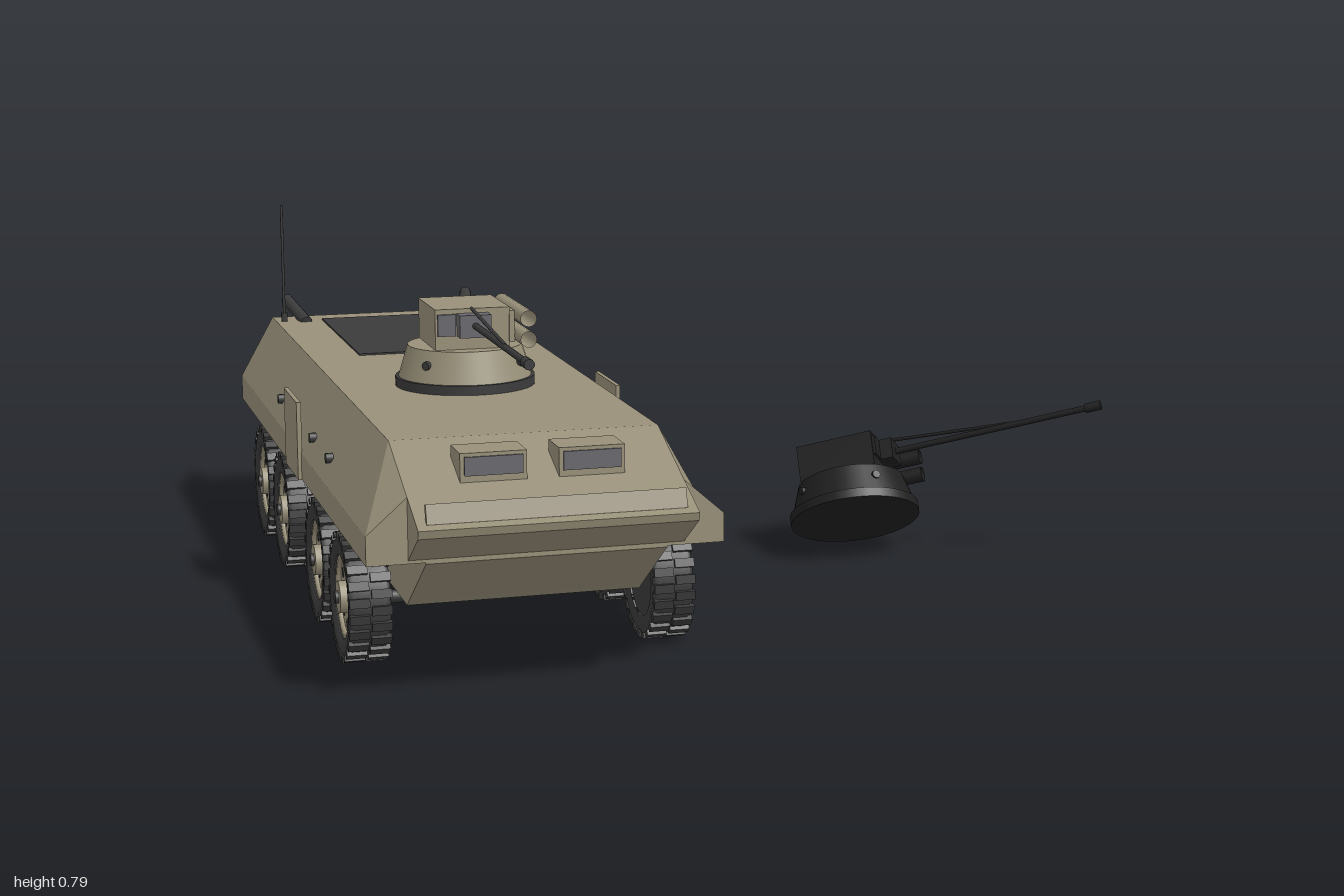
import * as THREE from 'three';

const mat = (name, color) => Object.assign(new THREE.MeshStandardMaterial({ color }), { name });
const olive = mat('olive paint', 0x989079);
const rubber = mat('tyre rubber', 0x3a3a3a);
const dark = mat('dark metal', 0x3b3b3c);
const glass = mat('grey glass', 0x68686e);
const burnt = mat('burnt metal', 0x1f1f1f);
const oliveTube = mat('olive tube', 0x989079);
const burntTube = mat('burnt tube', 0x1f1f1f);
oliveTube.side = burntTube.side = THREE.DoubleSide;

function add(parent, name, geo, material, x = 0, y = 0, z = 0) {
  const m = new THREE.Mesh(geo, material);
  m.name = name;
  m.position.set(x, y, z);
  parent.add(m);
  return m;
}
const box = (w, h, d) => new THREE.BoxGeometry(w, h, d);
const cyl = (r1, r2, h, n = 16, open = false) => new THREE.CylinderGeometry(r1, r2, h, n, 1, open);
const cylX = (r, h, n = 16) => cyl(r, r, h, n).rotateZ(Math.PI / 2);
const cylZ = (r, h, n = 16, open = false) => cyl(r, r, h, n, open).rotateX(Math.PI / 2);

// Straight rod between two points
function rod(parent, name, a, b, r, material) {
  const p = new THREE.Vector3(...a), q = new THREE.Vector3(...b);
  const m = add(parent, name, cyl(r, r, p.distanceTo(q), 10), material);
  m.position.copy(p).lerp(q, 0.5);
  m.quaternion.setFromUnitVectors(new THREE.Vector3(0, 1, 0), q.sub(p).normalize());
  return m;
}

// Side profile of (z, y) points, extruded across the width
function sideExtrude(points, half) {
  const shape = new THREE.Shape(points.map(p => new THREE.Vector2(...p)));
  return new THREE.ExtrudeGeometry(shape, { depth: half * 2, bevelEnabled: false })
    .rotateY(-Math.PI / 2).translate(half, 0, 0);
}

// Hull lofted from front to back: [z, top height, belly height]
function hullGeometry() {
  const rows = [[0.89, 0.418, 0.282], [0.7, 0.493, 0.159], [0.68, 0.493, 0.145],
    [-0.82, 0.493, 0.145], [-0.89, 0.493, 0.28], [-0.945, 0.493, 0.28]];
  const section = (top, belly) => {
    const left = [[0.245, belly], [0.245, 0.285], [0.363, 0.285], [0.363, 0.345], [0.28, top]];
    return [...left.map(([x, y]) => [-x, y]).reverse(), ...left];
  };
  const n = 10, pos = [], index = [];
  for (const [z, top, belly] of rows) for (const [x, y] of section(top, belly)) pos.push(x, y, z);
  for (let i = 0; i < rows.length - 1; i++) {
    for (let j = 0; j < n; j++) {
      const a = i * n + j, b = i * n + (j + 1) % n;
      index.push(a, a + n, b, b, a + n, b + n);
    }
  }
  const cap = (row, start, flip) => {
    const pts = section(row[1], row[2]).map(p => new THREE.Vector2(...p));
    for (const [a, b, c] of THREE.ShapeUtils.triangulateShape(pts, [])) {
      index.push(start + a, start + (flip ? c : b), start + (flip ? b : c));
    }
  };
  cap(rows[0], 0, false);
  cap(rows[rows.length - 1], (rows.length - 1) * n, true);
  const g = new THREE.BufferGeometry();
  g.setAttribute('position', new THREE.Float32BufferAttribute(pos, 3));
  g.setIndex(index);
  const flat = g.toNonIndexed();
  flat.computeVertexNormals();
  return flat;
}

// Wheel with its outer face towards +x
function makeWheel() {
  const w = new THREE.Group();
  w.name = 'wheel';
  const profile = [[0.088, -0.04], [0.118, -0.044], [0.129, -0.034], [0.129, 0.034], [0.118, 0.044], [0.088, 0.04], [0.084, 0.02]];
  const tyre = new THREE.LatheGeometry(profile.map(p => new THREE.Vector2(...p)), 32).rotateZ(-Math.PI / 2);
  add(w, 'tyre', tyre, rubber);
  for (let i = 0; i < 24; i++) {
    const a = i / 24 * Math.PI * 2;
    for (const s of [-1, 1]) {
      const b = a + (s > 0 ? Math.PI / 24 : 0);
      const lug = add(w, 'treadLug', box(0.042, 0.012, 0.019), rubber, s * 0.023, Math.cos(b) * 0.13, Math.sin(b) * 0.13);
      lug.rotation.x = b;
    }
  }
  add(w, 'innerDisc', cylX(0.088, 0.03, 24), dark, -0.022);
  add(w, 'rim', cylX(0.087, 0.03, 28), olive, 0.012);
  add(w, 'rimLip', new THREE.TorusGeometry(0.084, 0.007, 6, 28).rotateY(Math.PI / 2), olive, 0.03);
  add(w, 'hub', cylX(0.034, 0.024, 16), olive, 0.034);
  add(w, 'hubCap', cylX(0.014, 0.03, 12), dark, 0.038);
  for (let i = 0; i < 8; i++) {
    const a = i / 8 * Math.PI * 2;
    add(w, 'rimHole', cylX(0.011, 0.004, 8), dark, 0.0265, Math.cos(a) * 0.058, Math.sin(a) * 0.058);
  }
  return w;
}

// Gun turret with its ring standing on y = 0 and the gun along +z
function makeTurret(name, paint, tubePaint, metal, sightPaint) {
  const t = new THREE.Group();
  t.name = name;
  add(t, 'turretRing', cyl(0.155, 0.155, 0.022, 36), metal, 0, 0.011);
  add(t, 'turretBase', cyl(0.127, 0.148, 0.07, 36), paint, 0, 0.057);
  add(t, 'gunHousing', box(0.166, 0.09, 0.187), paint, 0, 0.137, -0.007);
  add(t, 'mantlet', box(0.07, 0.05, 0.036), sightPaint, 0, 0.147, 0.104);
  add(t, 'sight', box(0.04, 0.048, 0.008), sightPaint, -0.058, 0.147, 0.089);
  rod(t, 'barrel', [0, 0.148, 0.1], [0, 0.148, 0.625], 0.0075, metal);
  rod(t, 'muzzle', [0, 0.148, 0.59], [0, 0.148, 0.628], 0.0115, metal);
  rod(t, 'barrelBrace', [0, 0.181, 0.08], [0, 0.153, 0.41], 0.004, metal);
  add(t, 'tubeBracket', box(0.012, 0.07, 0.18), paint, 0.088, 0.139, 0.0);
  for (const y of [0.118, 0.164]) {
    add(t, 'launchTube', cylZ(0.018, 0.268, 16, true), tubePaint, 0.111, y, 0.02);
  }
  for (const a of [-0.85, 0.85, 2.3, -2.3]) {
    const bolt = add(t, 'baseBolt', cylZ(0.01, 0.012, 8), metal, Math.sin(a) * 0.138, 0.06, Math.cos(a) * 0.138);
    bolt.rotation.y = a;
  }
  return t;
}

export function createModel() {
  const model = new THREE.Group();
  model.name = 'armouredCarrierWithWreckedTurret';
  const car = new THREE.Group();
  car.name = 'carrier';
  car.position.x = -0.565;
  model.add(car);

  // Hull, nose and tail
  add(car, 'hull', hullGeometry(), olive);
  add(car, 'nose', sideExtrude([[0.88, 0.285], [0.895, 0.295], [0.995, 0.358], [1, 0.375], [0.88, 0.422]], 0.28), olive);
  add(car, 'tail', sideExtrude([[-0.94, 0.493], [-0.975, 0.32], [-0.97, 0.285], [-0.94, 0.285]], 0.28), olive);
  const trim = add(car, 'noseBoard', box(0.52, 0.04, 0.012), olive, 0, 0.4, 0.972);
  trim.rotation.x = -0.3;
  add(car, 'engineDeck', box(0.33, 0.006, 0.56), dark, 0, 0.494, -0.585);
  add(car, 'rearDisc', cylZ(0.053, 0.012, 28), dark, 0, 0.325, -0.979);

  // Parts mirrored on both sides
  for (const s of [-1, 1]) {
    add(car, 'driverHatch', box(0.135, 0.085, 0.09), olive, s * 0.1, 0.448, 0.81);
    add(car, 'driverWindow', box(0.118, 0.038, 0.006), glass, s * 0.1, 0.464, 0.856);
    add(car, 'sideDoor', box(0.01, 0.175, 0.19), olive, s * 0.366, 0.372, -0.026);
    for (const z of [0.35, 0.125, -0.355]) {
      add(car, 'sideLamp', cylX(0.011, 0.016, 10), dark, s * 0.345, 0.39, z);
    }
    add(car, 'tailLamp', box(0.045, 0.024, 0.014), dark, s * 0.297, 0.33, -0.978);
    rod(car, 'exhaust', [s * 0.207, 0.492, -0.845], [s * 0.235, 0.53, -0.99], 0.015, dark);
    for (const z of [0.555, 0.228, -0.276, -0.603]) {
      const wheel = makeWheel();
      wheel.position.set(s * 0.32, 0.14, z);
      if (s < 0) wheel.rotation.y = Math.PI;
      car.add(wheel);
    }
  }
  for (const z of [0.555, 0.228, -0.276, -0.603]) {
    add(car, 'axle', cylX(0.014, 0.58, 10), dark, 0, 0.133, z);
  }
  rod(car, 'antennaBase', [-0.26, 0.485, -0.87], [-0.26, 0.515, -0.87], 0.008, dark);
  rod(car, 'antenna', [-0.26, 0.49, -0.87], [-0.26, 0.79, -0.87], 0.0035, dark);

  // Mounted turret
  const turret = makeTurret('turret', olive, oliveTube, dark, glass);
  turret.position.set(0, 0.492, 0.118);
  car.add(turret);

  // Burnt turret lying tilted on the ground
  const wreck = makeTurret('wreckedTurret', burnt, burntTube, burnt, burnt);
  const up = new THREE.Vector3(0.064, 0.83, -0.554).normalize();
  const side = up.clone().cross(new THREE.Vector3(0.822, 0.271, 0.501)).normalize();
  wreck.quaternion.setFromRotationMatrix(new THREE.Matrix4().makeBasis(side, up, side.clone().cross(up)));
  wreck.position.set(0.405, 0.09, 0.008);
  model.add(wreck);
  return model;
}
